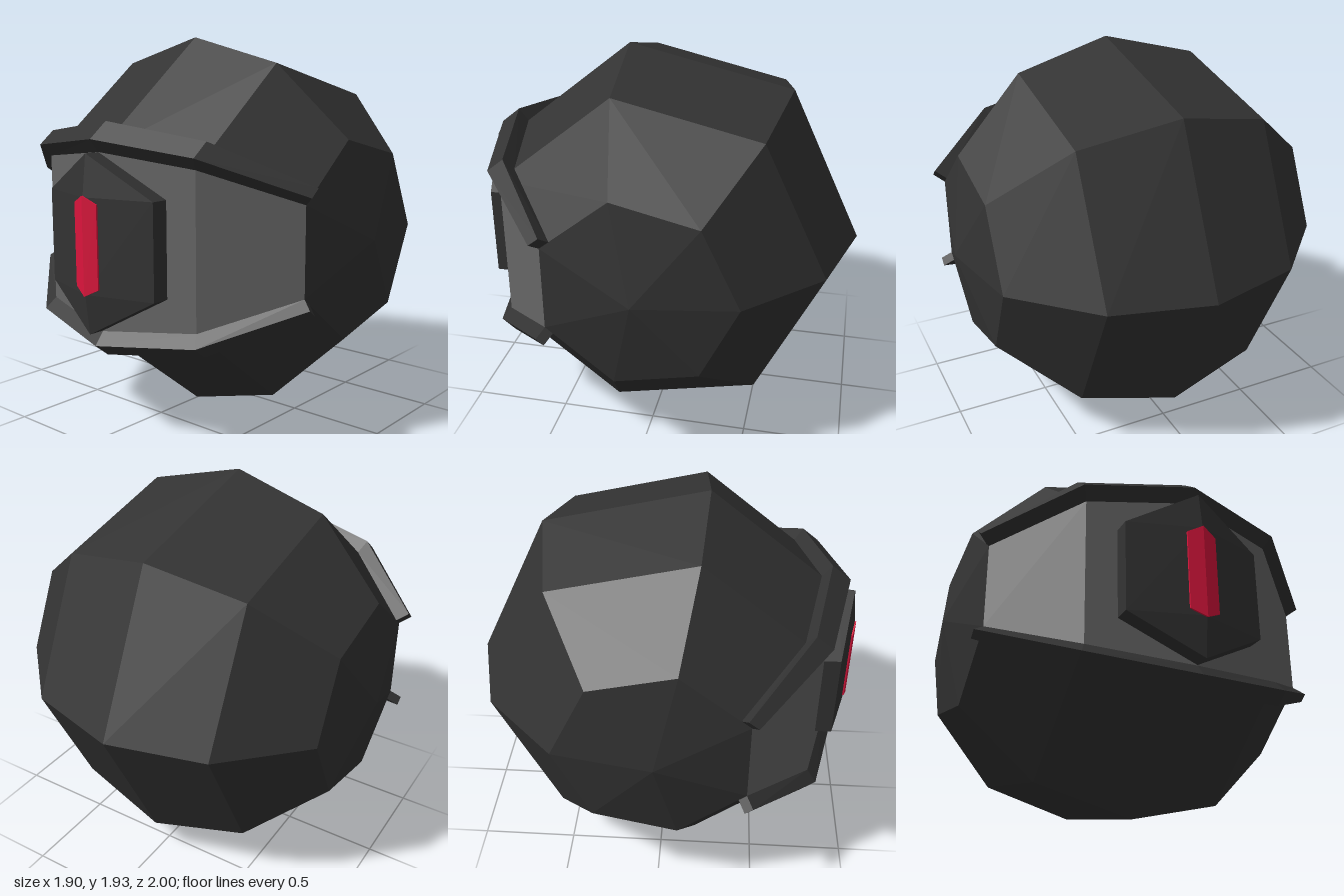
import * as THREE from 'three';

const R = 0.992, CY = 0.968, CZ = -0.004;
const mat = (color) => new THREE.MeshStandardMaterial({ color, flatShading: true, side: THREE.DoubleSide });

// Surface through rows of points: rows run towards +x, points within a row run upwards
function loft(name, rows, material) {
  const pos = [];
  for (let i = 0; i + 1 < rows.length; i++) {
    for (let j = 0; j + 1 < rows[i].length; j++) {
      const a = rows[i][j], b = rows[i + 1][j], c = rows[i + 1][j + 1], d = rows[i][j + 1];
      for (const t of [[a, b, c], [a, c, d]]) {
        const area = new THREE.Triangle(...t).getArea();
        if (area > 1e-7) t.forEach((p) => pos.push(p.x, p.y, p.z));
      }
    }
  }
  const g = new THREE.BufferGeometry();
  g.setAttribute('position', new THREE.Float32BufferAttribute(pos, 3));
  g.computeVertexNormals();
  const mesh = new THREE.Mesh(g, material);
  mesh.name = name;
  return mesh;
}

const v = (x, y, z) => new THREE.Vector3(x, y, z);

// Seven-sided sphere with its poles on the x axis; poles are slightly flattened
function ballPoint(ring, k) {
  const theta = (ring * Math.PI) / 6, phi = (Math.PI / 7) * (2 * k - 1);
  const r = R * Math.sin(theta);
  const x = ring === 0 ? -0.948 : ring === 6 ? 0.948 : -R * Math.cos(theta);
  return v(x, CY + r * Math.sin(phi), CZ + r * Math.cos(phi));
}
const patch = (r0, r1, k0, k1) => {
  const rows = [];
  for (let i = r0; i <= r1; i++) {
    const row = [];
    for (let k = k0; k <= k1; k++) row.push(ballPoint(i, k));
    rows.push(row);
  }
  return rows;
};

// Raised rim along the upper (s = 1) or lower (s = -1) edge of the visor
function rim(name, s, width, material) {
  const lift = [0.05, 0.073, 0.08, 0.073, 0.05];
  const rows = lift.map((h, n) => {
    const p = ballPoint(n + 1, s > 0 ? 1 : 0);
    const q = p.clone().lerp(ballPoint(n + 1, s > 0 ? 2 : -1), width / 0.868);
    const off = v(p.x * 0.06, s * h * 0.78, h * 0.62);
    const loop = [p, p.clone().add(off), q.clone().add(off), q, p];
    return s > 0 ? loop : loop.reverse();
  });
  const cap = (row) => {
    const c = v(0, 0, 0);
    row.slice(0, 4).forEach((p) => c.addScaledVector(p, 0.25));
    return row.map(() => c);
  };
  return loft(name, [cap(rows[0]), ...rows, cap(rows[4])], material);
}

export function createModel() {
  const dark = mat(0x333333), grey = mat(0x666666), red = mat(0xdc143c);
  const group = new THREE.Group();
  group.name = 'helmet';

  // Shell and the end facets beside the visor
  group.add(loft('shell', patch(0, 6, 1, 7), dark));
  group.add(loft('rightCheek', patch(0, 1, 0, 1), dark));
  group.add(loft('leftCheek', patch(5, 6, 0, 1), dark));

  // Visor band and its rims
  group.add(loft('visor', patch(1, 5, 0, 1), grey));
  group.add(rim('upperRim', 1, 0.127, dark));
  group.add(rim('lowerRim', -1, 0.1, dark));

  // Six-sided eye housing with a raised central ridge
  const lo = CY - 0.23, hi = CY + 0.23;
  const back = (x) => [lo, lo, lo, hi, hi, hi].map((y) => v(x, y, 0.8));
  const edge = (x) => [v(x, lo, 0.8), v(x, lo, 0.89), v(x, lo, 0.89), v(x, hi, 0.89), v(x, hi, 0.89), v(x, hi, 0.8)];
  const ridge = [[0.54, 0.885], [0.54, 0.97], [lo, 0.993], [hi, 0.993], [1.398, 0.97], [1.398, 0.885]]
    .map(([y, z]) => v(0, y, z));
  group.add(loft('eyeHousing', [back(-0.35), edge(-0.35), ridge, edge(0.35), back(0.35)], dark));

  // Red eye slit lying on the ridge
  const slit = (x, h, z) => [v(x, CY - h, 0.95), v(x, CY - h, z), v(x, CY + h, z), v(x, CY + h, 0.95)];
  group.add(loft('eye', [
    slit(-0.075, 0.2, 0.95), slit(-0.075, 0.2, 0.979), slit(0, 0.238, 1.0),
    slit(0.075, 0.2, 0.979), slit(0.075, 0.2, 0.95),
  ], red));

  return group;
}
